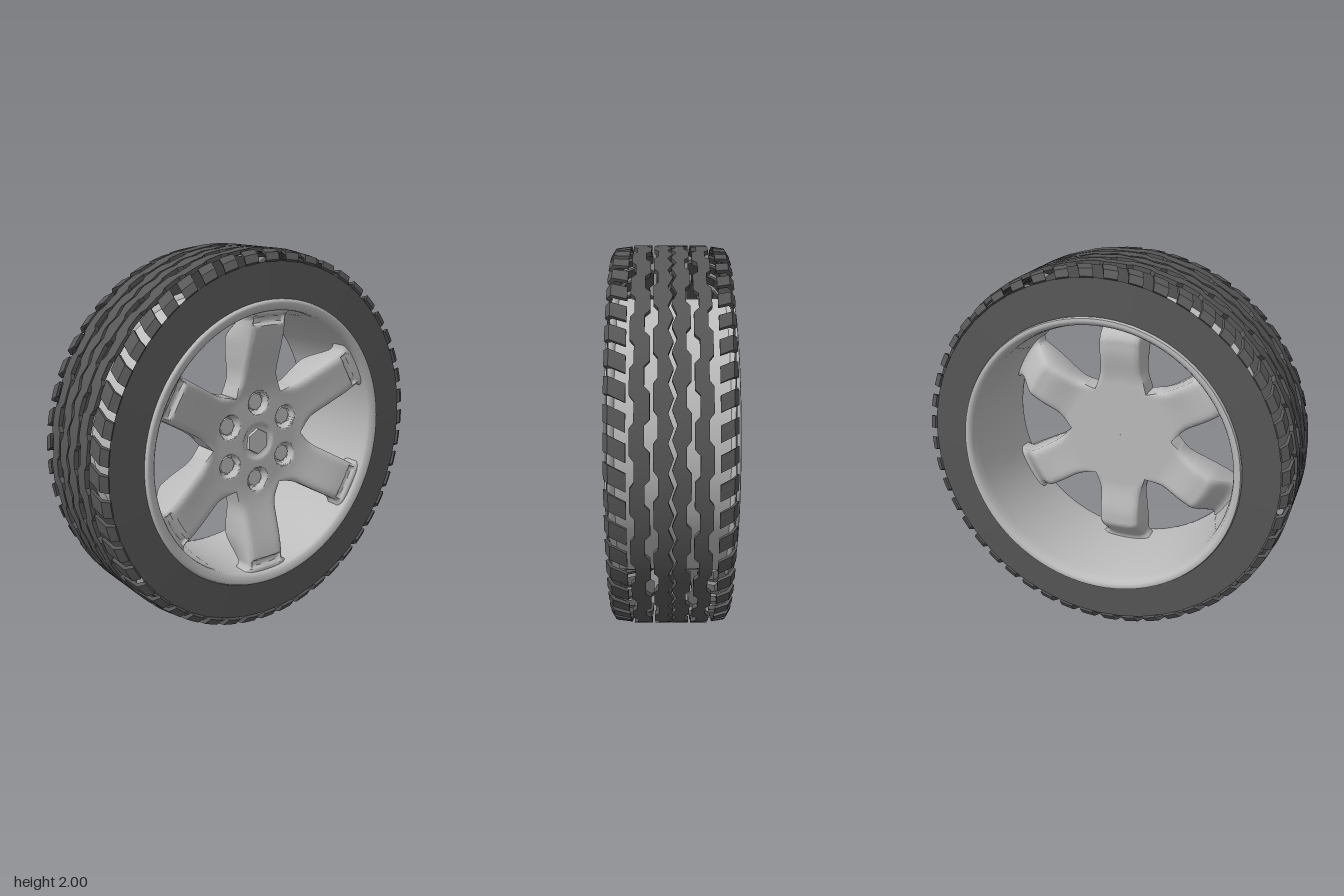
import * as THREE from 'three';
import { mergeGeometries, toCreasedNormals } from 'three/addons/utils/BufferGeometryUtils.js';

const TAU = Math.PI * 2;
const smooth = (a, b, v) => THREE.MathUtils.smoothstep(v, a, b);
const frac = v => v - Math.floor(v);
// wave with flat top and bottom, 0..1
const trapezoid = p => { p = frac(p); return smooth(0.1, 0.2, p) * (1 - smooth(0.55, 0.65, p)); };
const zigzag = p => Math.abs(frac(p) * 4 - 2) - 1;
// angle runs from +y towards +x
const polar = (r, a, z) => [r * Math.sin(a), r * Math.cos(a), z];

// Joins equal closed cross-section loops into a surface
function loft(loops, { closed = false, caps = false } = {}) {
  const n = loops[0].length, m = loops.length, index = [];
  for (let i = 0; i < (closed ? m : m - 1); i++) {
    const k = (i + 1) % m;
    for (let j = 0; j < n; j++) {
      const l = (j + 1) % n;
      const a = i * n + j, b = i * n + l, c = k * n + l, d = k * n + j;
      index.push(a, b, c, a, c, d);
    }
  }
  if (caps) for (let j = 1; j < n - 1; j++) {
    const e = (m - 1) * n;
    index.push(0, j + 1, j, e, e + j, e + j + 1);
  }
  const g = new THREE.BufferGeometry();
  g.setAttribute('position', new THREE.Float32BufferAttribute(loops.flat(2), 3));
  g.setIndex(index);
  return g;
}

// Tread band whose two edges are functions of the turn (0..1)
function treadBand(low, high, r0 = 0.978, r1 = 1) {
  const loops = [], steps = 480;
  for (let i = 0; i < steps; i++) {
    const u = i / steps, a = u * TAU, z0 = low(u), z1 = high(u);
    loops.push([polar(r0, a, z0), polar(r1, a, z0), polar(r1, a, z1), polar(r0, a, z1)]);
  }
  return toCreasedNormals(loft(loops, { closed: true }), 0.5);
}

// Row of thin, slanted shoulder blocks folded over the edge; side is +1 front, -1 back
function shoulderLugs(side) {
  const lugs = [], count = 48, edge = side > 0 ? 0.305 : 0.288;
  const profile = [[0.97, edge - 0.035], [0.98, 0.205], [0.995, 0.205],
    [0.985, edge - 0.022], [0.95, edge], [0.94, edge - 0.01]];
  for (let i = 0; i < count; i++) {
    const loops = [];
    for (let k = 0; k <= 2; k++) {
      const a = (i + k * (side > 0 ? 0.32 : 0.29) + (side > 0 ? 0 : 0.4)) / count * TAU;
      const loop = profile.map(([r, z]) => polar(r, a - 0.5 * (z - 0.205), side * z));
      if (side < 0) loop.push(...loop.splice(1).reverse());
      loops.push(loop);
    }
    lugs.push(loft(loops, { caps: true }).toNonIndexed());
  }
  const g = mergeGeometries(lugs);
  g.computeVertexNormals();
  return g;
}

// Lathe profile of [radius, z] turned about the axle
function turned(points, segments = 96) {
  const g = new THREE.LatheGeometry(points.map(p => new THREE.Vector2(...p)), segments);
  g.rotateX(Math.PI / 2);
  return g;
}

// One sixth of the hub with its spoke, pointing along +y
function spokeSector() {
  const loops = [], T = 32, R = 84;
  for (let i = 0; i <= R; i++) {
    const r = 0.001 + 0.712 * i / R;
    const width = 0.113 + 0.032 * Math.max(0, (0.42 - r) / 0.13) ** 2 + 0.03 * smooth(0.655, 0.71, r) ** 2;
    const half = Math.min(Math.PI / 6, Math.asin(Math.min(1, width / r)));
    const free = smooth(0.28, 0.38, r);
    const front = [], back = [];
    for (let j = 0; j <= T; j++) {
      const t = j / T * 2 - 1, a = half * t, x = r * Math.sin(a), y = r * Math.cos(a);
      let z = 0.19 + 0.09 * smooth(0.24, 0.68, r);
      z -= 0.022 * free * t ** 8;                                       // rounded edges
      z -= 0.036 * (1 - smooth(0.052, 0.066, Math.hypot(x, y - 0.21))); // bolt pocket
      z -= 0.014 * (1 - smooth(0.08, 0.1, r));                          // centre recess
      z -= 0.02 * smooth(0.628, 0.642, y) * (1 - smooth(0.668, 0.682, y))
        * (1 - smooth(0.088, 0.102, Math.abs(x)));                      // slot by the rim
      // the back is deepest along the spoke, then sweeps up to the rim
      const zb = 0.06 - 0.03 * smooth(0.3, 0.5, r) + 0.13 * smooth(0.54, 0.7, r) + 0.02 * free * t ** 8;
      front.push([x, y, z]);
      back.unshift([x, y, zb]);
    }
    loops.push([...front, ...back]);
  }
  return loft(loops);
}

export function createModel() {
  const rubber = new THREE.MeshStandardMaterial({ color: 0x575757, side: THREE.DoubleSide });
  rubber.name = 'dark rubber';
  const alloy = new THREE.MeshStandardMaterial({ color: 0xbcbcbc, side: THREE.DoubleSide });
  alloy.name = 'grey alloy';

  const wheel = new THREE.Group();
  wheel.name = 'wheel';
  wheel.position.y = 1;
  const add = (name, geometry, material) => {
    const mesh = new THREE.Mesh(geometry, material);
    mesh.name = name;
    wheel.add(mesh);
    return mesh;
  };

  // Tyre: flat sidewalls, separate tread bands and shoulder blocks
  add('frontSidewall', turned([[0.945, 0.292], [0.74, 0.3]], 48), rubber);
  add('backSidewall', turned([[0.74, -0.29], [0.945, -0.28]], 48), rubber);
  const wave = (base, depth, shift) => u => base + depth * trapezoid(u * 24 + shift);
  const groove = (offset, shift) => u => offset + 0.012 * zigzag(u * 48 + shift);
  add('outerFrontTread', treadBand(wave(0.1, 0.024, 0), wave(0.19, -0.02, 0.4)), rubber);
  add('innerFrontTread', treadBand(groove(0.009, 0), wave(0.086, -0.02, 0.15)), rubber);
  add('innerBackTread', treadBand(wave(-0.08, 0.02, 0.65), groove(-0.007, 0.12)), rubber);
  add('outerBackTread', treadBand(wave(-0.178, 0.02, 0.1), wave(-0.094, -0.024, 0.5)), rubber);
  add('frontShoulderBlocks', shoulderLugs(1), rubber);
  add('backShoulderBlocks', shoulderLugs(-1), rubber);

  // Rim barrel with a lip at each end and a broad front face
  const rim = [
    [0.715, -0.295], [0.725, -0.31], [0.74, -0.315], [0.752, -0.312], [0.757, -0.3], [0.755, -0.285],
    [0.73, -0.27], [0.725, 0], [0.73, 0.27], [0.755, 0.285], [0.758, 0.3], [0.752, 0.312],
    [0.74, 0.315], [0.71, 0.303], [0.702, 0.295], [0.7, 0.27], [0.7, 0.05], [0.705, -0.25], [0.715, -0.295]];
  add('rim', toCreasedNormals(turned(rim), 0.9), alloy);

  // Six spokes sharing the hub
  const sectors = [];
  for (let i = 0; i < 6; i++) sectors.push(spokeSector().rotateZ(i * TAU / 6));
  add('spokes', toCreasedNormals(mergeGeometries(sectors), 0.9), alloy);

  // Centre cap and wheel nuts
  const plug = (r0, r1, h, sides) =>
    toCreasedNormals(new THREE.CylinderGeometry(r0, r1, h, sides).rotateX(Math.PI / 2), 0.5);
  add('centreCap', plug(0.068, 0.076, 0.04, 6), alloy).position.z = 0.172;
  const nut = plug(0.045, 0.05, 0.03, 8);
  for (let i = 0; i < 6; i++) {
    add('wheelNut', nut, alloy).position.set(...polar(0.21, i * TAU / 6, 0.148));
  }

  const model = new THREE.Group();
  model.name = 'roadWheel';
  model.add(wheel);
  return model;
}
